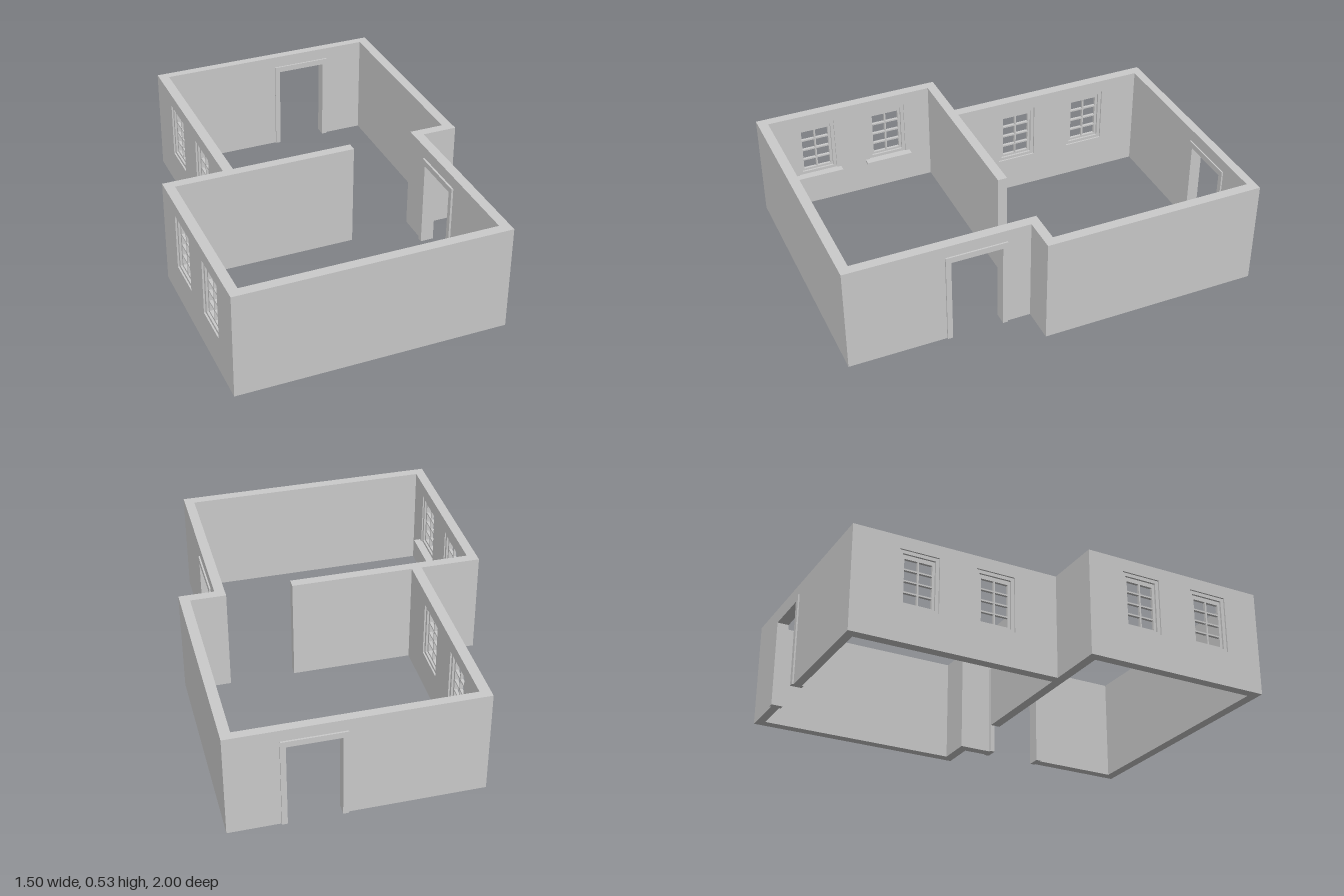
import * as THREE from 'three';

const H = 0.53;
const material = new THREE.MeshStandardMaterial({ color: 0xcccccc, flatShading: true });

function rectPath(path, a, b, y0, y1) {
  path.moveTo(a, y0);
  path.lineTo(b, y0);
  path.lineTo(b, y1);
  path.lineTo(a, y1);
  path.closePath();
  return path;
}

// Extrude a shape drawn in (along, height) so it fills p0..p1 across the wall.
function panel(name, shape, axis, p0, p1) {
  const geometry = new THREE.ExtrudeGeometry(shape, { depth: p1 - p0, bevelEnabled: false });
  if (axis === 'x') geometry.translate(0, 0, p0);
  else geometry.rotateY(-Math.PI / 2).translate(p1, 0, 0);
  const mesh = new THREE.Mesh(geometry, material);
  mesh.name = name;
  return mesh;
}

// Wall running from a to b with optional window holes and one door notch.
function wall(name, axis, a, b, p0, p1, { windows = [], door = null } = {}) {
  const shape = new THREE.Shape();
  shape.moveTo(a, 0);
  if (door !== null) {
    shape.lineTo(door - 0.14, 0);
    shape.lineTo(door - 0.14, 0.455);
    shape.lineTo(door + 0.14, 0.455);
    shape.lineTo(door + 0.14, 0);
  }
  shape.lineTo(b, 0);
  shape.lineTo(b, H);
  shape.lineTo(a, H);
  shape.closePath();
  for (const c of windows) shape.holes.push(rectPath(new THREE.Path(), c - 0.1, c + 0.1, 0.18, 0.465));
  return panel(name, shape, axis, p0, p1);
}

// Door surround: an upside-down U that wraps the wall thickness.
function doorFrame(name, axis, c, p0, p1) {
  const shape = new THREE.Shape([
    [-0.152, 0], [-0.126, 0], [-0.126, 0.44], [0.126, 0.44],
    [0.126, 0], [0.152, 0], [0.152, 0.47], [-0.152, 0.47],
  ].map(([s, y]) => new THREE.Vector2(c + s, y)));
  return panel(name, shape, axis, p0, p1);
}

// Window grille: outer frame, then a thinner sash with 2 x 4 open panes.
function windowUnit(c, outerX, sill) {
  const group = new THREE.Group();
  group.name = 'window';
  const frame = rectPath(new THREE.Shape(), c - 0.1, c + 0.1, 0.18, 0.465);
  frame.holes.push(rectPath(new THREE.Path(), c - 0.083, c + 0.083, 0.195, 0.448));
  group.add(panel('windowFrame', frame, 'z', outerX + 0.008, outerX + 0.042));

  const sash = rectPath(new THREE.Shape(), c - 0.083, c + 0.083, 0.195, 0.448);
  const w = 0.066, h = 0.0493, gap = 0.008;
  for (let i = 0; i < 2; i++) {
    for (let j = 0; j < 4; j++) {
      const z = c - 0.07 + i * (w + gap);
      const y = 0.206 + j * (h + gap);
      sash.holes.push(rectPath(new THREE.Path(), z, z + w, y, y + h));
    }
  }
  group.add(panel('windowSash', sash, 'z', outerX + 0.018, outerX + 0.032));

  if (sill) {
    const board = new THREE.Mesh(new THREE.BoxGeometry(0.035, 0.012, 0.244), material);
    board.name = 'windowSill';
    board.position.set(outerX + 0.0655, 0.174, c);
    group.add(board);
  }
  return group;
}

export function createModel() {
  const model = new THREE.Group();
  model.name = 'house';

  const backWindows = [-0.66, -0.27];
  const frontWindows = [0.337, 0.716];

  // Back room
  model.add(wall('backWall', 'x', -0.452, 0.747, -0.992, -0.95, { door: 0.347 }));
  model.add(wall('backRoomWindowWall', 'z', -0.95, 0.053, -0.452, -0.402, { windows: backWindows }));
  model.add(wall('backRoomSideWall', 'z', -0.95, 0.053, 0.698, 0.747));

  // Partition and short return, with a full-height gap between them
  model.add(wall('partitionWall', 'x', -0.75, 0.2, 0.053, 0.1));
  model.add(wall('returnWall', 'x', 0.524, 0.747, 0.053, 0.1));

  // Front room
  model.add(wall('frontRoomWindowWall', 'z', 0.1, 0.951, -0.75, -0.702, { windows: frontWindows }));
  model.add(wall('frontRoomDoorWall', 'z', 0.1, 0.951, 0.524, 0.573, { door: 0.368 }));
  model.add(wall('frontWall', 'x', -0.75, 0.573, 0.951, 1));

  // Door surrounds
  model.add(doorFrame('backDoorFrame', 'x', 0.347, -1, -0.942));
  model.add(doorFrame('sideDoorFrame', 'z', 0.368, 0.514, 0.581));

  // Windows
  for (const z of backWindows) model.add(windowUnit(z, -0.452, false));
  for (const z of frontWindows) model.add(windowUnit(z, -0.75, true));

  return model;
}
